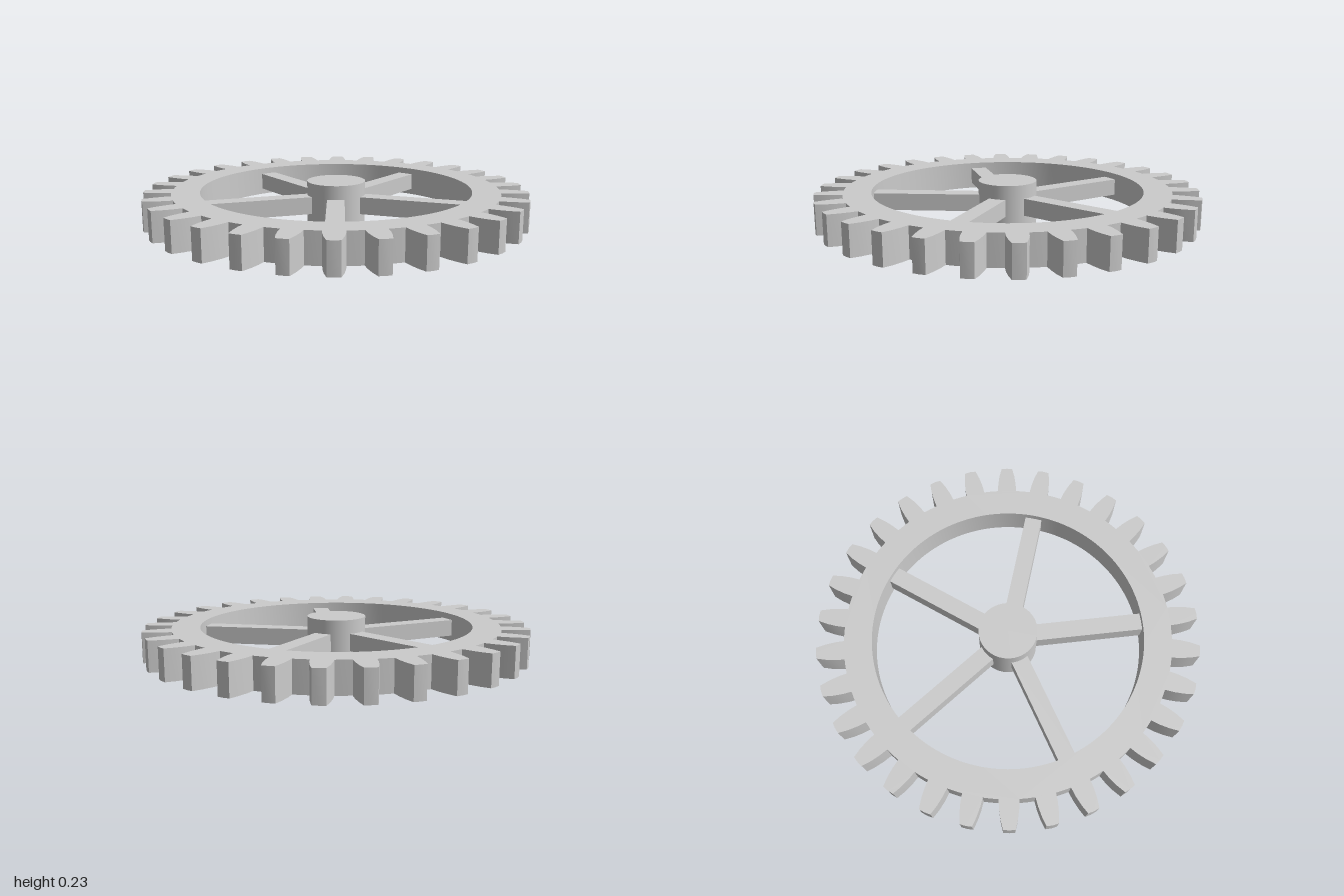
import * as THREE from 'three';
import { toCreasedNormals } from 'three/addons/utils/BufferGeometryUtils.js';

const TEETH = 30, SPOKES = 5;
const MID_Y = 0.117, RIM_H = 0.155, HUB_H = 0.234, HUB_R = 0.153, SPOKE = 0.09;
const INNER_R = 0.71, ROOT_R = 0.855;

// Right half of one tooth: [radius, half width], root to tip
const FLANK = [[ROOT_R, 0.051], [0.9, 0.049], [0.95, 0.042], [0.998, 0.03]];

export function createModel() {
  const gear = new THREE.Group();
  gear.name = 'spurGear';
  const material = new THREE.MeshStandardMaterial({ color: 0xcccccc });
  const add = (name, geometry, parent = gear) => {
    const mesh = new THREE.Mesh(geometry, material);
    mesh.name = name;
    parent.add(mesh);
    return mesh;
  };

  // Toothed rim: tooth outline repeated around the circle, with a round hole
  const outline = [];
  const polar = (r, a) => outline.push(new THREE.Vector2(r * Math.cos(a), r * Math.sin(a)));
  for (let i = 0; i < TEETH; i++) {
    const a = (i / TEETH) * Math.PI * 2;
    FLANK.forEach(([r, w]) => polar(r, a - w / r));
    polar(1, a);
    [...FLANK].reverse().forEach(([r, w]) => polar(r, a + w / r));
    polar(ROOT_R, a + Math.PI / TEETH); // middle of the valley
  }
  const shape = new THREE.Shape(outline);
  shape.holes.push(new THREE.Path().absarc(0, 0, INNER_R, 0, Math.PI * 2, true));
  const rim = new THREE.ExtrudeGeometry(shape, { depth: RIM_H, bevelEnabled: false, curveSegments: 72 });
  rim.rotateX(-Math.PI / 2);
  rim.translate(0, MID_Y - RIM_H / 2, 0);
  add('toothedRim', toCreasedNormals(rim, 0.35));

  // Hub
  add('hub', new THREE.CylinderGeometry(HUB_R, HUB_R, HUB_H, 48)).position.y = MID_Y;

  // Square spokes, sunk slightly into hub and rim
  const start = HUB_R - 0.03, end = INNER_R + 0.015;
  const spokeGeometry = new THREE.BoxGeometry(end - start, SPOKE, SPOKE);
  spokeGeometry.translate((start + end) / 2, MID_Y, 0);
  const spokes = new THREE.Group();
  spokes.name = 'spokes';
  gear.add(spokes);
  for (let i = 0; i < SPOKES; i++) {
    add('spoke', spokeGeometry, spokes).rotation.y = Math.PI + (i / SPOKES) * Math.PI * 2;
  }

  return gear;
}
